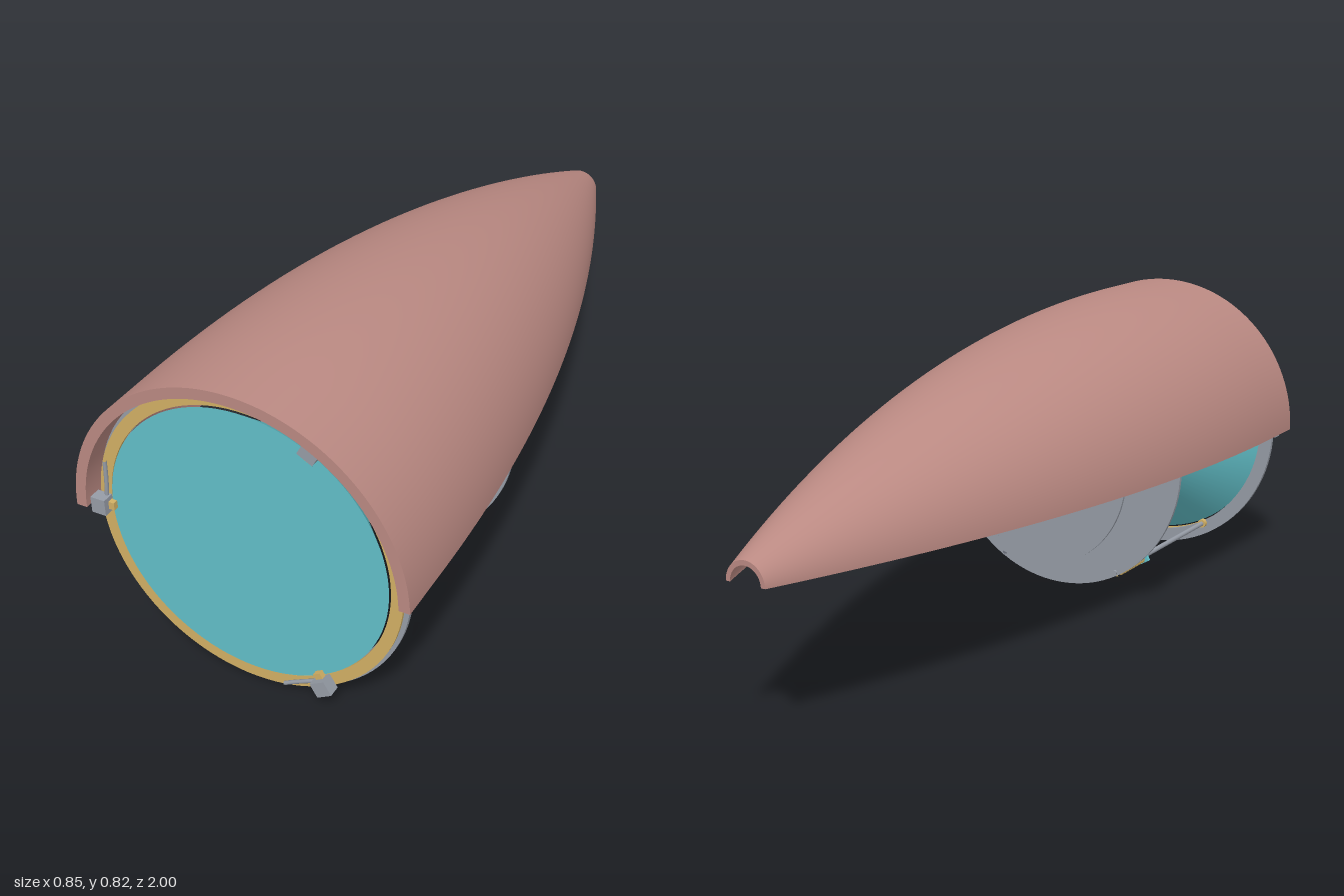
import * as THREE from 'three';
import { mergeGeometries } from 'three/addons/utils/BufferGeometryUtils.js';

const mat = (name, color, side = THREE.FrontSide) => {
  const m = new THREE.MeshStandardMaterial({ color, side });
  m.name = name;
  return m;
};

export function createModel() {
  const pink = mat('shell pink', 0xba8982, THREE.DoubleSide);
  const gold = mat('gold', 0xd2b064);
  const teal = mat('teal', 0x62bfc8);
  const grey = mat('metal grey', 0x969ca6);
  const dark = mat('dark grey', 0x6c717c);

  const model = new THREE.Group();
  const body = new THREE.Group(); // everything is arranged around the z axis
  body.name = 'body';
  body.position.y = 0.397;
  model.add(body);

  const add = (name, geo, material, x = 0, y = 0, z = 0, parent = body) => {
    const m = new THREE.Mesh(geo, material);
    m.name = name;
    m.position.set(x, y, z);
    parent.add(m);
    return m;
  };
  // cylinder or cone between two z positions
  const rod = (name, rFront, rBack, z0, z1, material, x = 0, y = 0, seg = 16, parent = body) =>
    add(name, new THREE.CylinderGeometry(rFront, rBack, z1 - z0, seg).rotateX(Math.PI / 2),
      material, x, y, (z0 + z1) / 2, parent);
  // flat ring with its back face at z
  const ring = (name, outer, inner, z, depth, material) => {
    const s = new THREE.Shape().absarc(0, 0, outer, 0, Math.PI * 2);
    s.holes.push(new THREE.Path().absarc(0, 0, inner, 0, Math.PI * 2, true));
    return add(name, new THREE.ExtrudeGeometry(s, { depth, bevelEnabled: false, curveSegments: 48 }),
      material, 0, 0, z);
  };
  // group turned about the z axis, with its own +x pointing outward
  const spoke = (name, degrees) => {
    const g = new THREE.Group();
    g.name = name;
    g.rotation.z = THREE.MathUtils.degToRad(degrees);
    body.add(g);
    return g;
  };

  // half shell: tapered wall, cut open along the horizontal plane
  const outer = [], inner = [];
  for (let i = 0; i <= 40; i++) {
    const z = -1 + i / 20;
    const r = 0.424 * (1 - (Math.max(0, 0.85 - z) / 1.983) ** 2);
    outer.push(new THREE.Vector2(r, z));
    inner.unshift(new THREE.Vector2(r - (0.0195 + 0.0075 * z), z));
  }
  const half = pts => new THREE.LatheGeometry(pts, 64, Math.PI / 2, Math.PI).rotateX(Math.PI / 2);
  const cut = side => new THREE.ShapeGeometry(new THREE.Shape(
    [...outer, ...inner].map(p => new THREE.Vector2(p.x * side, p.y)))).rotateX(Math.PI / 2);
  add('shell', mergeGeometries([
    half(outer), half(inner),
    half([outer[40], inner[0]]), half([inner[40], outer[0]]),
    cut(1), cut(-1),
  ]), pink);

  // front rings, window and light cone
  ring('mountRing', 0.396, 0.357, 0.928, 0.012, grey);
  ring('retainerRing', 0.387, 0.357, 0.949, 0.008, gold);
  rod('lightCone', 0.354, 0.04, 0.59, 0.96, teal, 0, 0, 96);
  rod('rearLens', 0.085, 0.11, 0.505, 0.592, teal, 0, 0, 48).rotation.y = Math.PI;
  rod('ringPin', 0.006, 0.006, 0.95, 0.96, pink, 0, 0.373);

  // clamps with curved spring arms, and the spacers between the rear discs
  for (const a of [180, 60, -60]) {
    const g = spoke('clamp', a);
    add('clampBlock', new THREE.BoxGeometry(0.038, 0.042, 0.03), grey, 0.376, 0, 0.972, g);
    add('clampTab', new THREE.BoxGeometry(0.016, 0.02, 0.014), gold, 0.35, 0, 0.966, g);
    const pts = [[0.367, 3], [0.367, 8], [0.371, 13], [0.379, 18]].map(([r, d]) => {
      const t = THREE.MathUtils.degToRad(-d);
      return new THREE.Vector3(r * Math.cos(t), r * Math.sin(t), 0.963);
    });
    add('clampArm', new THREE.TubeGeometry(new THREE.CatmullRomCurve3(pts), 16, 0.005, 8), grey, 0, 0, 0, g);
    rod('discSpacer', 0.007, 0.007, 0.205, 0.352, grey, 0.25, 0, 12, g);
    rod('discScrew', 0.007, 0.007, 0.34, 0.362, dark, 0.36, 0, 12, g);
  }

  // support rods with coil springs and the spider arms they carry
  const coil = [];
  for (let i = 0; i <= 96; i++) {
    const t = i / 96 * Math.PI * 2 * 8;
    coil.push(new THREE.Vector3(0.013 * Math.cos(t), 0.013 * Math.sin(t), 0.357 + 0.143 * i / 96));
  }
  const coilGeo = new THREE.TubeGeometry(new THREE.CatmullRomCurve3(coil), 192, 0.0035, 6);
  for (const a of [0, 120, -120]) {
    const g = spoke('support', a);
    rod('supportRod', 0.007, 0.007, 0.34, 0.945, grey, 0.363, 0, 12, g);
    rod('rodFoot', 0.013, 0.013, 0.915, 0.93, gold, 0.363, 0, 12, g);
    add('coilSpring', coilGeo, gold, 0.363, 0, 0, g);
    add('spiderArm', new THREE.BoxGeometry(0.3, 0.045, 0.01), teal, 0.23, 0, 0.505, g);
  }
  rod('spiderHub', 0.1, 0.1, 0.5, 0.51, teal, 0, 0, 48);
  add('sensorBox', new THREE.BoxGeometry(0.03, 0.03, 0.09), grey, 0.33, -0.014, 0.415);

  // rear discs and the detector
  ring('largeDisc', 0.374, 0.1, 0.346, 0.01, grey);
  ring('smallDisc', 0.28, 0.1, 0.206, 0.008, grey);
  add('detector', new THREE.BoxGeometry(0.16, 0.088, 0.065), teal, -0.02, 0, 0.16);
  add('detectorHousing', new THREE.BoxGeometry(0.14, 0.07, 0.055), dark, -0.17, 0, 0.16);

  return model;
}
